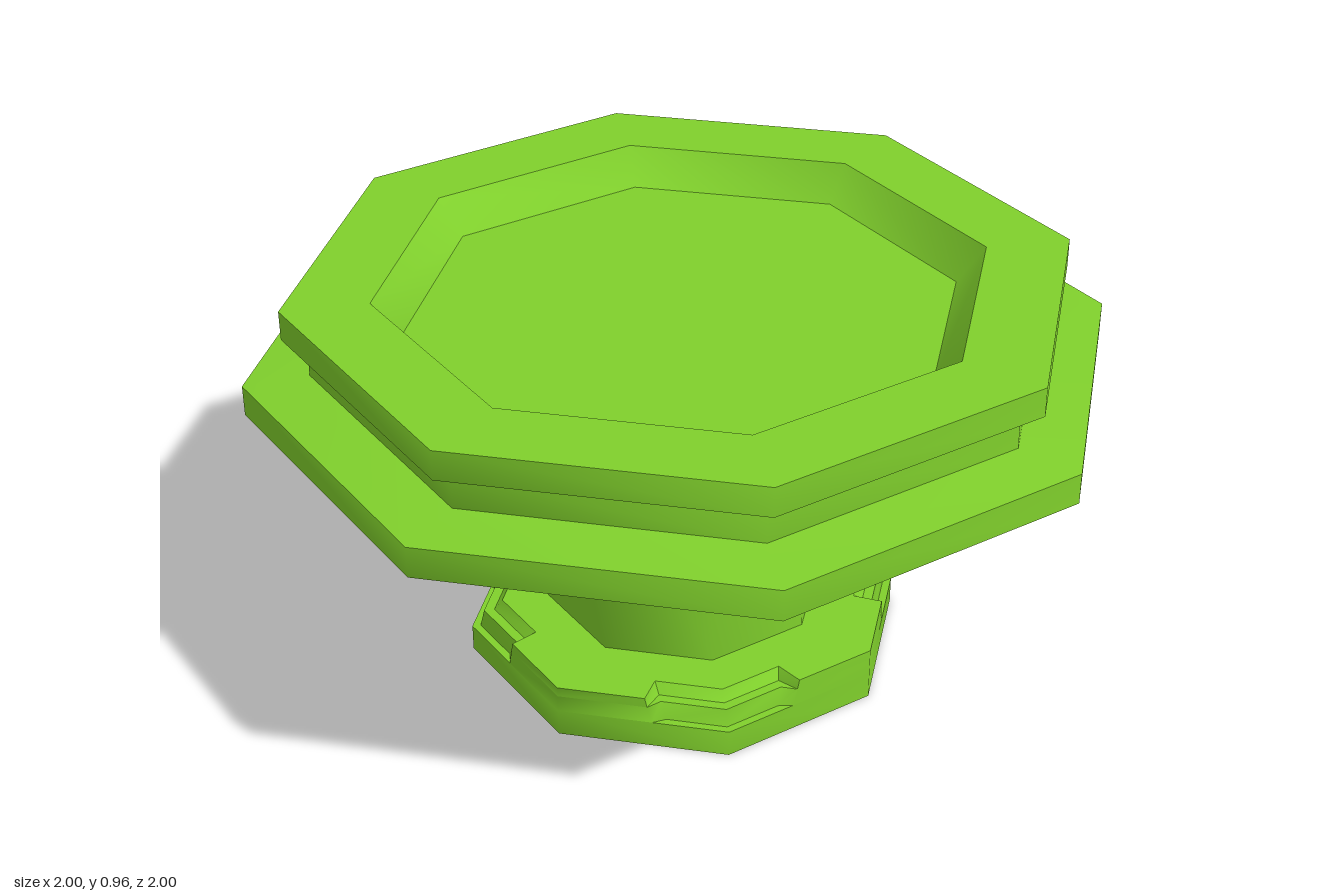
import * as THREE from 'three';
import { toCreasedNormals } from 'three/addons/utils/BufferGeometryUtils.js';

const CREASE = 0.83; // smooths around the octagon, keeps the rims sharp
const BASE_R = 0.52;
const SLOPE = Math.tan(Math.PI / 8); // slope of an octagon edge next to its corner

export function createModel() {
  const group = new THREE.Group();
  const green = new THREE.MeshStandardMaterial({ color: 0x80d02c });
  green.name = 'lime green';

  const add = (name, geometry) => {
    const mesh = new THREE.Mesh(toCreasedNormals(geometry, CREASE), green);
    mesh.name = name;
    group.add(mesh);
  };

  // Octagonal solid from a radius/height profile, corners on the axes
  const octagon = (profile) =>
    new THREE.LatheGeometry(profile.map(([r, y]) => new THREE.Vector2(r, y)), 8);

  // Base outline with a chevron notch cut into each of the four axis corners
  const notchedOutline = (y, w, tip) => {
    const points = [];
    const wi = w - 0.035;
    for (let k = 0; k < 4; k++) {
      const a = (k * Math.PI) / 2;
      const corner = [
        [-w, BASE_R - SLOPE * w],
        [-wi, tip - SLOPE * wi],
        [0, tip],
        [wi, tip - SLOPE * wi],
        [w, BASE_R - SLOPE * w],
        [BASE_R * Math.SQRT1_2, BASE_R * Math.SQRT1_2],
      ];
      for (const [u, v] of corner) {
        points.push([v * Math.sin(a) + u * Math.cos(a), y, v * Math.cos(a) - u * Math.sin(a)]);
      }
    }
    return points;
  };

  // Slab between two outlines, closed on top
  const slab = (low, high) => {
    const positions = [];
    const centre = [0, high[0][1], 0];
    low.forEach((a, i) => {
      const j = (i + 1) % low.length;
      positions.push(...a, ...low[j], ...high[j], ...a, ...high[j], ...high[i]);
      positions.push(...centre, ...high[i], ...high[j]);
    });
    const geometry = new THREE.BufferGeometry();
    geometry.setAttribute('position', new THREE.Float32BufferAttribute(positions, 3));
    return geometry;
  };

  // Foot: plain octagon below, two notched steps above
  add('foot', octagon([[0, 0], [BASE_R, 0], [BASE_R, 0.065], [0, 0.065]]));
  add('footLowerStep', slab(notchedOutline(0.065, 0.165, 0.5), notchedOutline(0.107, 0.175, 0.49)));
  add('footUpperStep', slab(notchedOutline(0.107, 0.175, 0.465), notchedOutline(0.131, 0.18, 0.445)));

  // Stem
  add('stem', octagon([[0.333, 0.131], [0.333, 0.712]]));

  // Wide dish: flange, neck, overhanging rim and sunken floor
  add('dish', octagon([
    [0, 0.712], [1, 0.712], [1, 0.785],
    [0.85, 0.797], [0.85, 0.873],
    [0.905, 0.893], [0.905, 0.963],
    [0.705, 0.963], [0.638, 0.88], [0, 0.88],
  ]));

  return group;
}
